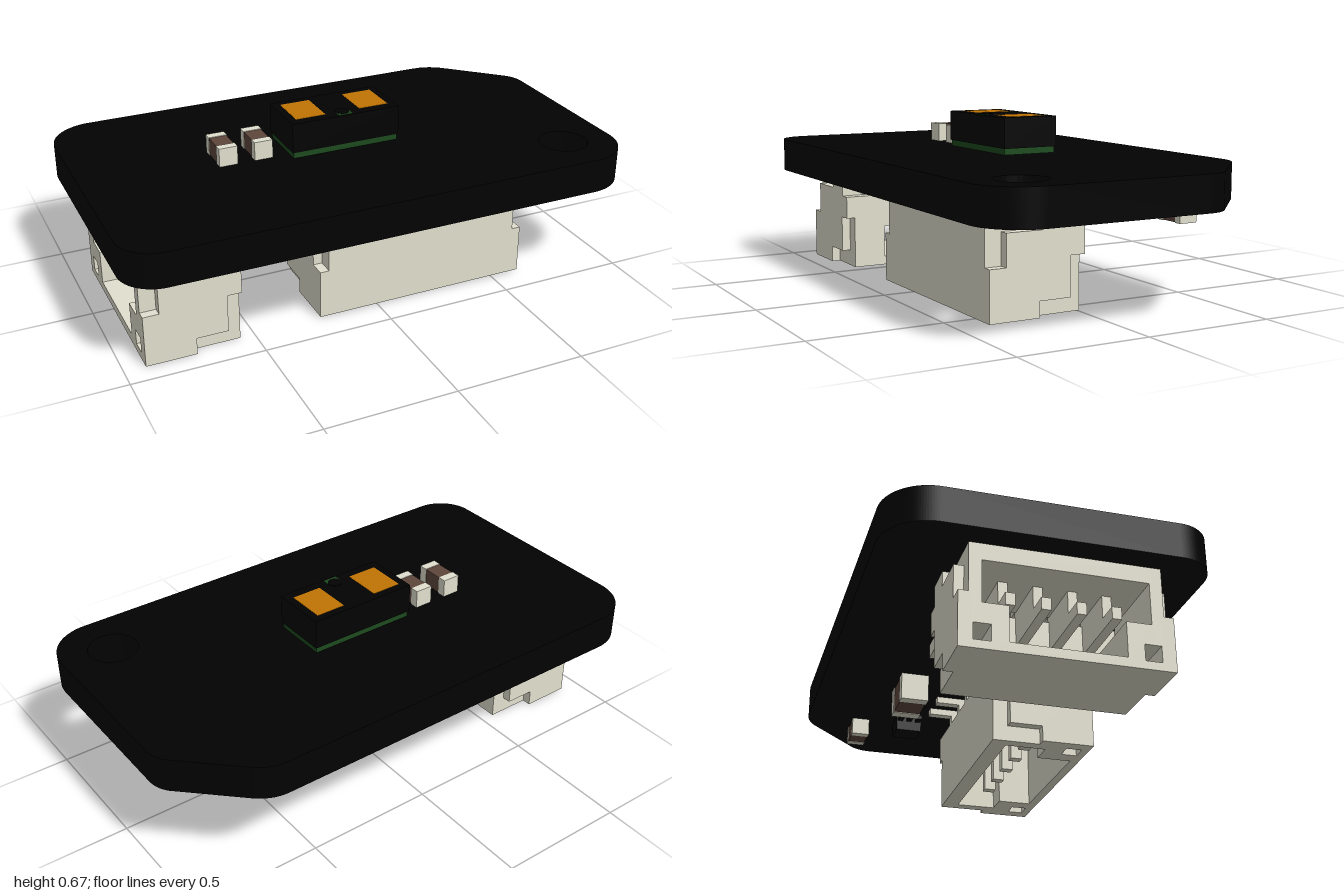
import * as THREE from 'three';

const mat = (name, color) => {
  const m = new THREE.MeshStandardMaterial({ color });
  m.name = name;
  return m;
};

export function createModel() {
  const black = mat('black', 0x020202);
  const beige = mat('beige', 0xe2e0ce);
  const brown = mat('brown', 0x5f473c);
  const orange = mat('orange', 0xc07404);
  const green = mat('green', 0x1c4a1e);

  const root = new THREE.Group();
  root.name = 'sensorBoard';

  const add = (parent, name, geo, material) => {
    const m = new THREE.Mesh(geo, material);
    m.name = name;
    parent.add(m);
    return m;
  };
  // Box given by its limits on each axis
  const box = (parent, name, material, [x0, x1], [y0, y1], [z0, z1]) => {
    const m = add(parent, name, new THREE.BoxGeometry(x1 - x0, y1 - y0, z1 - z0), material);
    m.position.set((x0 + x1) / 2, (y0 + y1) / 2, (z0 + z1) / 2);
    return m;
  };
  const rect = (x0, x1, y0, y1, Type = THREE.Path) => {
    const p = new Type();
    p.moveTo(x0, y0);
    p.lineTo(x1, y0);
    p.lineTo(x1, y1);
    p.lineTo(x0, y1);
    p.closePath();
    return p;
  };
  const extrude = (shape, depth) =>
    new THREE.ExtrudeGeometry(shape, { depth, bevelEnabled: false, curveSegments: 16 });

  // Circuit board: rounded outline, one clipped corner, one mounting hole
  const s = new THREE.Shape();
  s.moveTo(-0.82, -0.572);
  s.lineTo(0.65, -0.572);
  s.quadraticCurveTo(0.71, -0.572, 0.76, -0.53);
  s.lineTo(0.97, -0.325);
  s.quadraticCurveTo(1, -0.29, 1, -0.24);
  s.lineTo(1, 0.392);
  s.absarc(0.82, 0.392, 0.18, 0, Math.PI / 2, false);
  s.lineTo(-0.86, 0.572);
  s.absarc(-0.86, 0.432, 0.14, Math.PI / 2, Math.PI, false);
  s.lineTo(-1, -0.392);
  s.absarc(-0.82, -0.392, 0.18, Math.PI, Math.PI * 1.5, false);
  const hole = new THREE.Path();
  hole.absarc(0.8, 0.37, 0.095, 0, Math.PI * 2, true);
  s.holes.push(hole);
  const board = add(root, 'board', extrude(s, 0.133), black);
  board.rotation.x = Math.PI / 2;
  board.position.y = 0.523;

  // Distance sensor with two windows on top
  const sensor = new THREE.Group();
  sensor.name = 'sensor';
  root.add(sensor);
  box(sensor, 'substrate', green, [-0.215, 0.215], [0.53, 0.556], [-0.117, 0.099]);
  box(sensor, 'housing', black, [-0.22, 0.22], [0.554, 0.67], [-0.122, 0.103]);
  for (const x of [-0.13, 0.13])
    box(sensor, 'window', orange, [x - 0.06, x + 0.06], [0.667, 0.671], [-0.092, 0.065]);
  box(sensor, 'marker', green, [-0.028, 0.028], [0.667, 0.671], [0.065, 0.097]);
  const dot = add(sensor, 'markerDot', new THREE.CylinderGeometry(0.027, 0.027, 0.005, 24), black);
  dot.position.set(0, 0.67, 0.062);

  // Chip capacitor lying along z, with metal end caps
  const capacitor = (name, x, y, z, width, height, length) => {
    const g = new THREE.Group();
    g.name = name;
    g.position.set(x, y, z);
    root.add(g);
    const w = width / 2, l = length / 2, e = length * 0.23, h = height;
    box(g, 'core', brown, [-w * 0.95, w * 0.95], [h * 0.03, h * 0.97], [-l + e, l - e]);
    box(g, 'endCap', beige, [-w, w], [0, h], [l - e, l]);
    box(g, 'endCap', beige, [-w, w], [0, h], [-l, -l + e]);
    return g;
  };
  for (const x of [-0.457, -0.318])
    capacitor('topCapacitor', x, 0.53, -0.018, 0.072, 0.073, 0.148);
  capacitor('smallCapacitor', 0.68, 0.313, -0.35, 0.072, 0.07, 0.13).rotation.y = Math.PI / 2;
  capacitor('largeCapacitor', 0.205, 0.272, -0.225, 0.11, 0.11, 0.19).rotation.y = Math.PI / 2;

  // Small black chip with leads under the board
  box(root, 'regulator', black, [0.55, 0.645], [0.325, 0.382], [-0.205, -0.1]);
  for (const z of [-0.19, -0.153, -0.115])
    box(root, 'regulatorLead', black, [0.51, 0.68], [0.365, 0.382], [z - 0.01, z + 0.01]);

  // Metal solder terminals beside the sockets
  box(root, 'terminal', beige, [-0.375, -0.305], [0.35, 0.385], [-0.205, -0.165]);
  box(root, 'terminal', beige, [-0.23, -0.15], [0.33, 0.385], [-0.23, -0.14]);
  box(root, 'terminalLink', beige, [-0.305, -0.23], [0.372, 0.385], [-0.195, -0.175]);

  // Socket: opening on +z, plain wall on -y, leads at the rear
  const D = 0.365, H = 0.382, T = 0.035, R = 0.045, N = 0.3;
  const connector = (name, width, count, leadsUp) => {
    const g = new THREE.Group();
    g.name = name;
    root.add(g);
    const W = width / 2, B = W - T, O = W - 0.08, S = W - 0.17;
    // Shell with a T-shaped cavity and corner pockets
    const shell = rect(-B, B, 0, H, THREE.Shape);
    const cavity = [[-S, 0.035], [S, 0.035], [S, 0.165], [O, 0.165], [O, 0.32],
      [-O, 0.32], [-O, 0.165], [-S, 0.165]];
    shell.holes.push(new THREE.Path(cavity.map(([x, y]) => new THREE.Vector2(x, y))));
    for (const c of [-1, 1]) {
      const x = c * (W - 0.08);
      shell.holes.push(rect(x - 0.03, x + 0.03, 0.03, 0.09));
    }
    add(g, 'shell', extrude(shell, D - R), beige).position.z = -D / 2 + R;
    // Lower rear wall with a slot, and a key above the slot
    const wall = rect(-B, B, 0, N, THREE.Shape);
    wall.holes.push(rect(-S, S, 0.035, 0.165));
    add(g, 'rearWall', extrude(wall, R), beige).position.z = -D / 2;
    box(g, 'key', beige, [-0.11, 0.11], [0.13, 0.17], [-D / 2 + 0.005, -D / 2 + R]);
    // Stepped cheeks on both ends
    const steps = [[0, 0], [0, 0.2], [0.06, 0.2], [0.06, 0.325], [0.21, 0.325], [0.21, H],
      [D - R, H], [D - R, N], [D, N], [D, 0.21], [0.31, 0.21], [0.31, 0.065],
      [0.19, 0.065], [0.19, 0]];
    const cheek = new THREE.Shape(steps.map(([d, y]) => new THREE.Vector2(D / 2 - d, y)));
    for (const x of [W, -W + T]) {
      const m = add(g, 'cheek', extrude(cheek, T), beige);
      m.rotation.y = -Math.PI / 2;
      m.position.x = x;
    }
    // Contacts inside and solder leads outside
    for (let i = 0; i < count; i++) {
      const x = (i - (count - 1) / 2) * 0.123, r = [x - 0.017, x + 0.017];
      box(g, 'contact', beige, r, [0.19, 0.235], [-0.14, 0.145]);
      box(g, 'contactRoot', beige, r, [0.235, 0.33], [-0.15, 0.06]);
      if (leadsUp) {
        box(g, 'lead', beige, r, [H - 0.04, 0.475], [-D / 2 - 0.012, -D / 2 + 0.015]);
        box(g, 'leadBend', beige, r, [N, H], [-D / 2 + 0.015, -D / 2 + R]);
      } else {
        box(g, 'lead', beige, r, [0.357, 0.385], [-D / 2 - 0.08, -D / 2 + R]);
        box(g, 'leadBend', beige, r, [0.327, 0.357], [-D / 2 - 0.015, -D / 2 + R]);
      }
    }
    // Solder tabs on the face against the board
    if (leadsUp)
      for (const x of [-W + 0.05, W - 0.05])
        box(g, 'solderTab', beige, [x - 0.02, x + 0.02], [0.2, 0.29], [-D / 2 - 0.015, -D / 2]);
    return g;
  };
  const side = connector('sideConnector', 0.74, 4, false);
  side.rotation.y = -Math.PI / 2;
  side.position.set(-0.7375, 0, 0.05);
  const lower = connector('downwardConnector', 0.855, 5, true);
  lower.rotation.set(Math.PI / 2, Math.PI, 0, 'YXZ');
  lower.position.set(0.191, 0.187, 0.386);

  return root;
}
